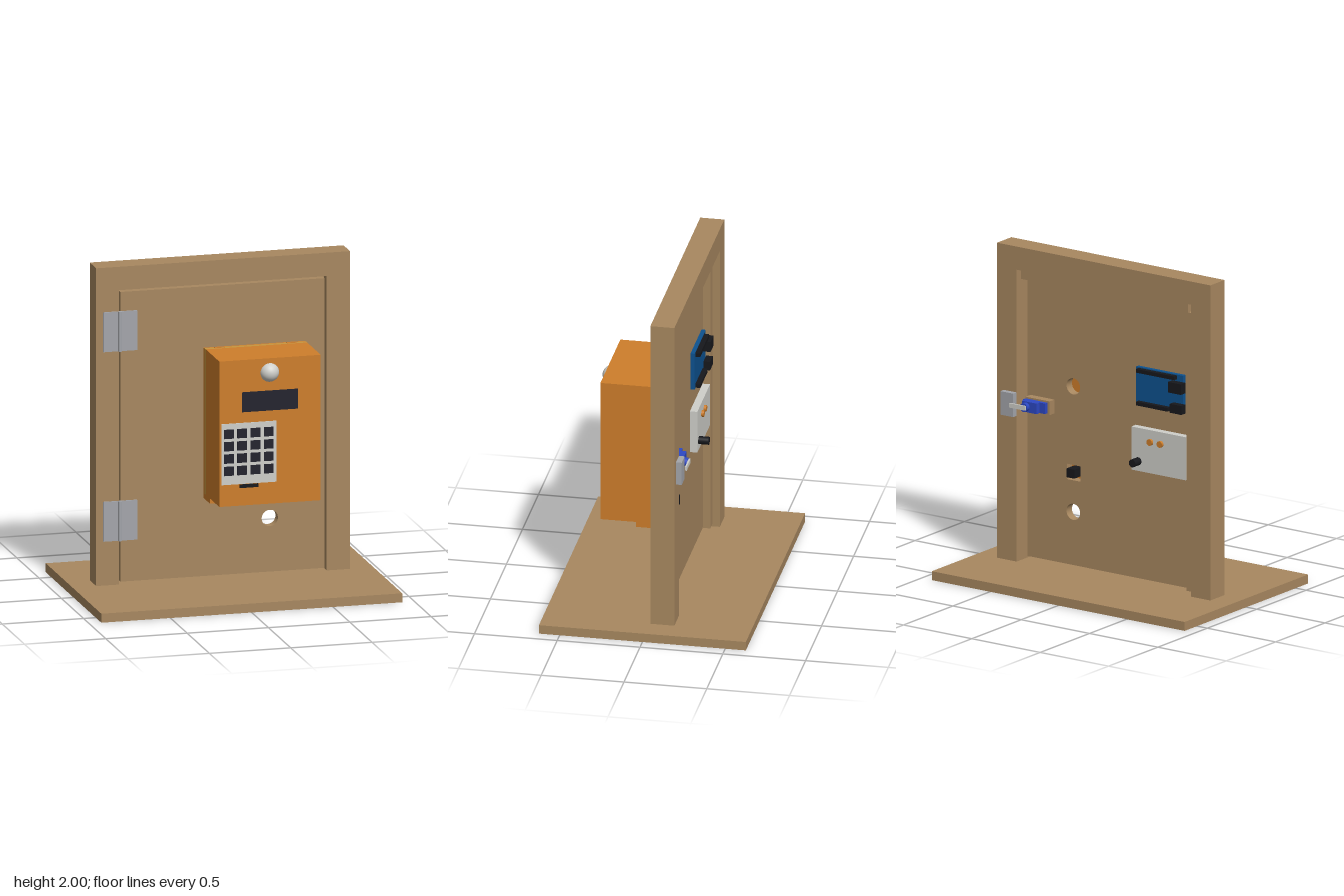
import * as THREE from 'three';

export function createModel() {
  const model = new THREE.Group();
  const mat = (name, color) => {
    const m = new THREE.MeshStandardMaterial({ color });
    m.name = name;
    return m;
  };
  const wood = mat('wood', 0xa88860);
  const orange = mat('orange', 0xce7e2b);
  const gold = mat('gold', 0xc8963f);
  const steel = mat('steel', 0xa4a6ac);
  const pale = mat('pale grey', 0xcfcfca);
  const dark = mat('dark navy', 0x22222e);
  const black = mat('black', 0x17181c);
  const boardBlue = mat('board blue', 0x0d5290);
  const servoBlue = mat('servo blue', 0x2d48c4);

  const add = (name, geometry, material) => {
    const mesh = new THREE.Mesh(geometry, material);
    mesh.name = name;
    model.add(mesh);
    return mesh;
  };
  // box given by its minimum and maximum on each axis
  const box = (name, material, x0, x1, y0, y1, z0, z1) =>
    add(name, new THREE.BoxGeometry(x1 - x0, y1 - y0, z1 - z0), material)
      .position.set((x0 + x1) / 2, (y0 + y1) / 2, (z0 + z1) / 2);
  // cylinder lying along z
  const rod = (name, material, x, y, r, z0, z1) => {
    const g = new THREE.CylinderGeometry(r, r, z1 - z0, 24).rotateX(Math.PI / 2);
    add(name, g, material).position.set(x, y, (z0 + z1) / 2);
  };
  const polygon = (points, Type = THREE.Shape) =>
    new Type(points.map(([x, y]) => new THREE.Vector2(x, y)));
  const rect = (x0, x1, y0, y1, Type) =>
    polygon([[x0, y0], [x1, y0], [x1, y1], [x0, y1]], Type);
  const slab = (name, shape, material, z0, z1) => {
    const g = new THREE.ExtrudeGeometry(shape, { depth: z1 - z0, bevelEnabled: false, curveSegments: 24 });
    add(name, g, material).position.z = z0;
  };

  // Base and door frame, open at the bottom
  box('base', wood, -0.925, 0.925, 0, 0.055, -0.625, 0.625);
  slab('doorFrame', polygon([
    [-0.78, 0.055], [-0.64, 0.055], [-0.64, 1.857], [0.637, 1.857],
    [0.637, 0.055], [0.78, 0.055], [0.78, 2], [-0.78, 2],
  ]), wood, -0.165, -0.02);

  // Door stops on the hinge side and the top
  box('sideStop', wood, -0.64, -0.575, 0.07, 1.79, -0.12, -0.076);
  box('topStop', wood, -0.585, 0.637, 1.79, 1.857, -0.12, -0.076);

  // Door with two cable holes and a socket cutout
  const door = rect(-0.632, 0.624, 0.072, 1.845);
  for (const y of [0.4, 1.175]) {
    door.holes.push(new THREE.Path().absarc(0.287, y, 0.05, 0, Math.PI * 2, true));
  }
  door.holes.push(rect(0.235, 0.335, 0.595, 0.69, THREE.Path));
  slab('door', door, wood, -0.075, -0.02);
  box('socket', black, 0.262, 0.318, 0.615, 0.67, -0.1, -0.02);

  // Hinges
  for (const y of [0.325, 1.485]) {
    box('hingeFrameLeaf', steel, -0.737, -0.64, y, y + 0.243, -0.02, -0.012);
    box('hingeDoorLeaf', steel, -0.63, -0.53, y, y + 0.243, -0.02, -0.012);
    add('hingePin', new THREE.CylinderGeometry(0.012, 0.012, 0.243, 16), steel)
      .position.set(-0.636, y + 0.1215, -0.009);
  }

  // Housing: back plate, shelf with cable notch, rim and main box
  box('backPlate', orange, -0.12, 0.503, 0.55, 1.47, -0.02, -0.005);
  slab('rim', rect(-0.12, 0.503, 0.582, 1.472), gold, 0, 0.03);
  box('housing', orange, -0.12, 0.503, 0.582, 1.472, 0.03, 0.335);
  box('shelf', orange, -0.12, 0.21, 0.55, 0.582, -0.02, 0.12);
  box('shelf', orange, 0.36, 0.503, 0.55, 0.582, -0.02, 0.12);
  box('shelfMiddle', orange, 0.21, 0.36, 0.55, 0.582, -0.02, 0.04);
  for (const x of [-0.03, 0.413]) {
    box('topHook', orange, x - 0.03, x + 0.03, 1.44, 1.474, -0.005, 0.018);
  }

  // Sensor dome, display and keypad on the housing front
  add('sensorDome', new THREE.SphereGeometry(0.058, 32, 20), pale).position.set(0.19, 1.385, 0.324);
  box('display', dark, 0.018, 0.363, 1.153, 1.275, 0.332, 0.338);
  box('keypad', pale, -0.108, 0.23, 0.715, 1.088, 0.333, 0.34);
  for (let i = 0; i < 4; i++) {
    for (let j = 0; j < 4; j++) {
      const x = -0.063 + i * 0.0815, y = 0.8 + j * 0.0755;
      box('key', dark, x - 0.03, x + 0.03, y - 0.029, y + 0.027, 0.338, 0.345);
    }
  }
  box('ribbon', black, 0.005, 0.118, 0.69, 0.712, 0.332, 0.339);

  // Controller board with headers and connectors
  box('controllerBoard', boardBlue, -0.535, -0.19, 1.15, 1.385, -0.1, -0.075);
  box('upperHeader', black, -0.49, -0.21, 1.357, 1.38, -0.13, -0.1);
  box('lowerHeader', black, -0.44, -0.21, 1.155, 1.178, -0.13, -0.1);
  box('dataPort', black, -0.55, -0.455, 1.28, 1.345, -0.145, -0.1);
  box('powerPort', black, -0.55, -0.465, 1.155, 1.21, -0.14, -0.1);

  // Breadboard with resistors and a knob
  box('breadboard', pale, -0.568, -0.17, 0.75, 1.016, -0.12, -0.075);
  rod('knob', black, -0.22, 0.81, 0.024, -0.182, -0.12);
  for (const x of [-0.31, -0.385]) rod('resistor', orange, x, 0.943, 0.02, -0.135, -0.12);

  // Latch servo on the door, keeper on the frame
  box('servoMount', wood, 0.425, 0.6, 0.985, 1.07, -0.125, -0.075);
  box('servoFlange', servoBlue, 0.44, 0.6, 0.995, 1.06, -0.15, -0.125);
  box('servoBody', servoBlue, 0.48, 0.588, 0.995, 1.06, -0.18, -0.15);
  rod('servoHub', servoBlue, 0.558, 1.028, 0.027, -0.205, -0.18);
  box('servoHorn', pale, 0.54, 0.655, 1.015, 1.042, -0.216, -0.205);
  box('keeper', steel, 0.637, 0.73, 0.955, 1.1, -0.2, -0.165);

  return model;
}
